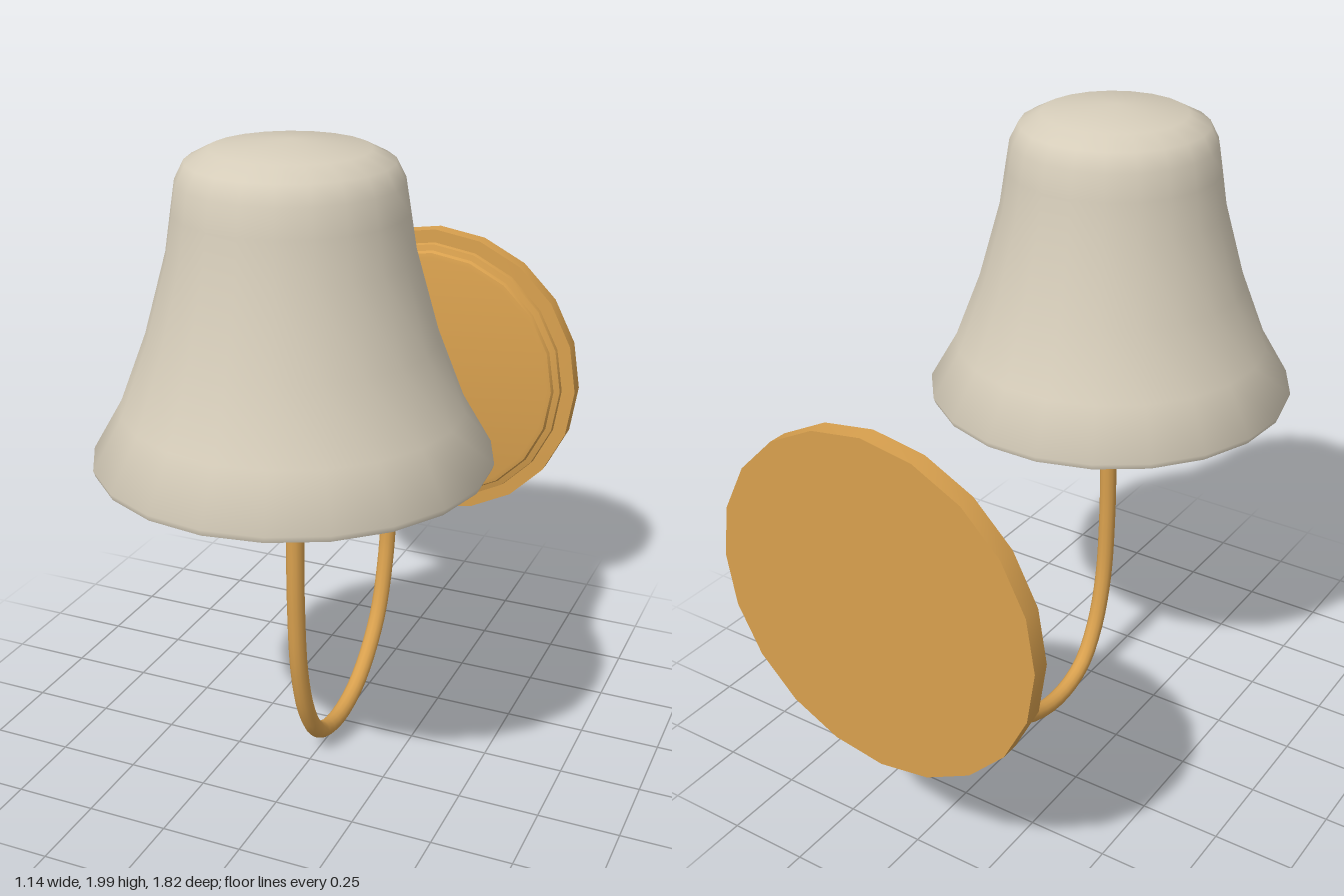
import * as THREE from 'three';
import { toCreasedNormals } from 'three/addons/utils/BufferGeometryUtils.js';

export function createModel() {
  const brass = new THREE.MeshStandardMaterial({ name: 'warm brass', color: 0xd8a04e });
  const cream = new THREE.MeshStandardMaterial({ name: 'cream shade', color: 0xd6cdba });
  const model = new THREE.Group();
  model.name = 'wallLamp';
  const lampZ = 0.34;

  // Turned solid from [radius, height] pairs, listed from bottom to top
  function turned(name, profile, sides, material, crease = 0.75) {
    const points = profile.map(([r, y]) => new THREE.Vector2(r, y));
    const geometry = toCreasedNormals(new THREE.LatheGeometry(points, sides), crease);
    const mesh = new THREE.Mesh(geometry, material);
    mesh.name = name;
    model.add(mesh);
    return mesh;
  }

  // Bell shade: down the inside, round the rim, up the outside
  turned('shade', [
    [0, 1.965], [0.21, 1.95], [0.26, 1.925], [0.29, 1.88], [0.322, 1.69],
    [0.39, 1.455], [0.467, 1.255], [0.548, 1.11], [0.55, 1.09],
    [0.566, 1.09], [0.572, 1.108], [0.487, 1.255], [0.41, 1.455], [0.344, 1.69],
    [0.325, 1.81], [0.312, 1.89], [0.285, 1.943], [0.22, 1.976], [0, 2],
  ], 21, cream, 0.9).position.z = lampZ;

  // Candle tube and its cup
  turned('candleTube', [[0, 1.02], [0.063, 1.02], [0.063, 1.45], [0, 1.45]],
    14, brass).position.z = lampZ;
  turned('candleCup', [
    [0, 0.85], [0.044, 0.85], [0.044, 0.862], [0.03, 0.882], [0.034, 0.893],
    [0.062, 0.91], [0.095, 0.945], [0.12, 0.985], [0.135, 1.022], [0.135, 1.035], [0, 1.035],
  ], 20, brass).position.z = lampZ;

  // Stepped round wall plate, turned to face forward
  const plate = turned('wallPlate', [
    [0, 0], [0.52, 0], [0.52, 0.055], [0.475, 0.057], [0.472, 0.072],
    [0.452, 0.078], [0.446, 0.09], [0.43, 0.094], [0, 0.094],
  ], 20, brass, 0.6);
  plate.rotation.x = Math.PI / 2;
  plate.position.set(-0.015, 0.94, -0.91);

  // Curved arm from cup to plate, as [z, y] points
  const path = [
    [0.34, 0.86], [0.34, 0.6], [0.32, 0.36], [0.265, 0.185], [0.18, 0.075], [0.04, 0.034],
    [-0.14, 0.075], [-0.31, 0.23], [-0.39, 0.44], [-0.415, 0.65], [-0.435, 0.84],
    [-0.487, 0.965], [-0.58, 1.015], [-0.68, 0.99], [-0.83, 0.943],
  ].map(([z, y]) => new THREE.Vector3(0, y, z));
  const arm = new THREE.Mesh(
    new THREE.TubeGeometry(new THREE.CatmullRomCurve3(path), 56, 0.027, 12), brass);
  arm.name = 'arm';
  model.add(arm);

  return model;
}
